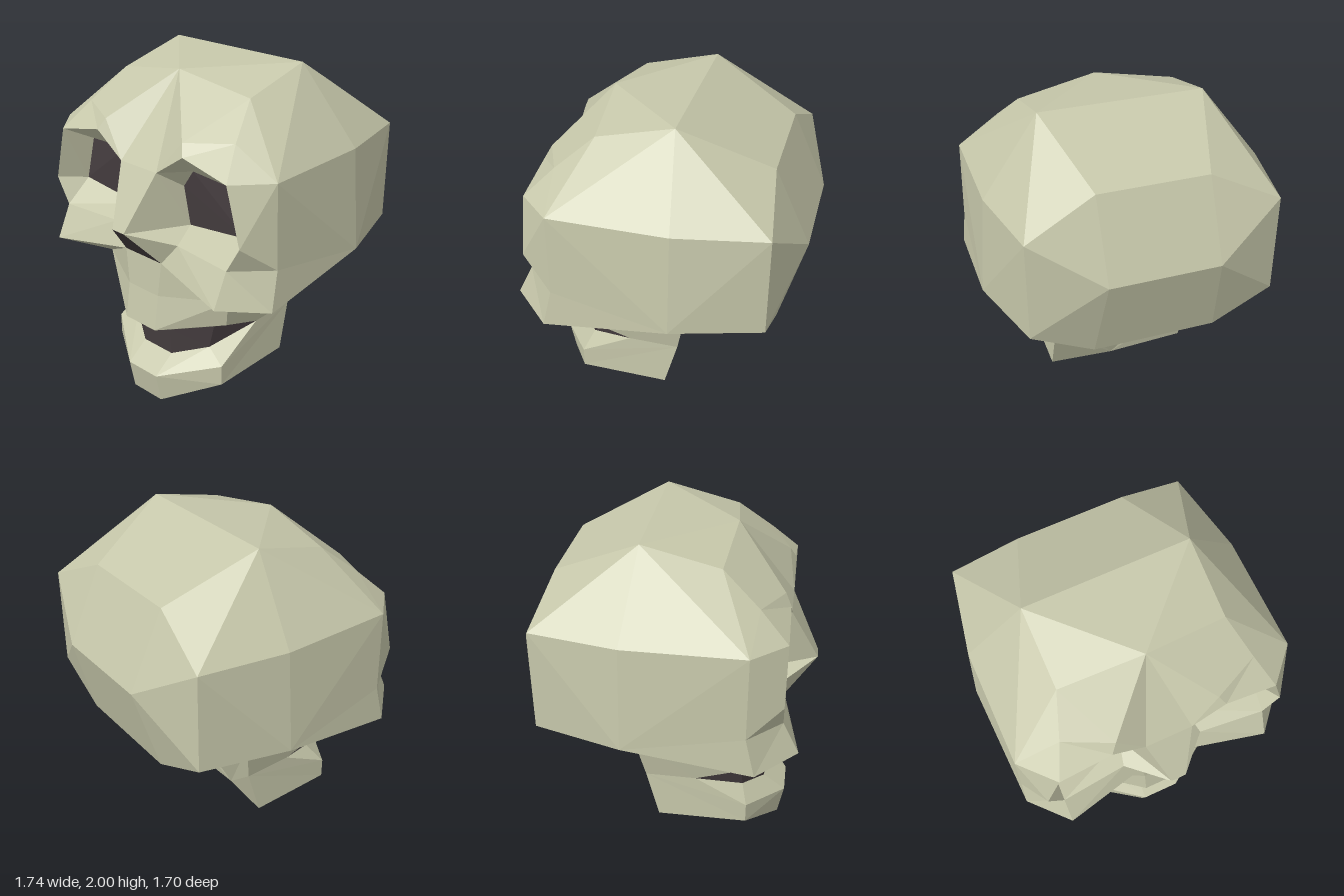
import * as THREE from 'three';

// Corner points of the +x half; a name followed by ' is the mirrored point.
const craniumPoints = {
  crownBack: [0.48, 2, -0.13], crownFront: [0.48, 1.89, 0.31], crownMid: [0, 1.97, 0.35],
  backTop: [0.32, 1.75, -0.64], backMid: [0.32, 1.3, -0.85], backLow: [0.36, 0.79, -0.71],
  rearTop: [0.72, 1.56, -0.7], rearLow: [0.72, 0.96, -0.7],
  sideTop: [0.82, 1.56, -0.19], sideLow: [0.87, 0.96, -0.19], temple: [0.82, 1.56, 0.49],
  baseBack: [0.49, 0.745, -0.19], baseFront: [0.49, 0.745, 0.49], baseMid: [0, 0.745, -0.19],
};
const facePoints = {
  browOut: [0.565, 1.715, 0.52], browIn: [0.3, 1.69, 0.64], browLow: [0.335, 1.625, 0.675],
  rimTop: [0.645, 1.56, 0.68], rimSide: [0.735, 1.23, 0.68], rimLow: [0.645, 1.075, 0.68],
  bridge: [0.14, 1.49, 0.68], noseTip: [0.045, 1.155, 0.85], noseSide: [0.25, 1.075, 0.64],
  noseLow: [0.145, 0.94, 0.67], cheekSide: [0.835, 1.075, 0.49], cheekBack: [0.85, 0.845, 0.545],
  cheekLow: [0.645, 0.88, 0.775], gumTop: [0.12, 0.725, 0.68],
  eyeTopOut: [0.575, 1.48, 0.51], eyeTopIn: [0.27, 1.49, 0.53], eyeMidIn: [0.19, 1.38, 0.52],
  eyeLowIn: [0.215, 1.145, 0.5], eyeLowOut: [0.64, 1.205, 0.52],
};
const jawPoints = {
  lipTop: [0.12, 0.51, 0.715], lipTopSide: [0.46, 0.575, 0.47], mouthCorner: [0.435, 0.46, 0.175],
  jawBackTop: [0.435, 0.46, -0.13], jawBackLow: [0.445, 0.165, -0.05], jawMid: [0, 0.03, 0.07],
  lipLow: [0.115, 0.185, 0.715], lipLowSide: [0.44, 0.29, 0.49],
  chinSide: [0.44, 0.165, 0.49], chin: [0.115, 0, 0.68],
  teethTop: [0.115, 0.455, 0.59], teethTopSide: [0.34, 0.505, 0.445],
  teethLow: [0.115, 0.285, 0.58], teethLowSide: [0.31, 0.355, 0.455],
};
const points = { ...craniumPoints, ...facePoints, ...jawPoints };

function corner(name) {
  const p = new THREE.Vector3(...points[name.replace("'", '')]);
  if (name.endsWith("'")) p.x *= -1;
  return p;
}

// Builds flat polygons facing away from the pivot (or towards it when inward).
// Polygons without a mirrored corner are repeated on the other side.
function panels(name, material, pivot, faces, inward = false) {
  const positions = [];
  const centre = new THREE.Vector3(...pivot);
  const add = (a, b, c) => [a, b, c].forEach((p) => positions.push(p.x, p.y, p.z));
  for (const face of faces) {
    const names = face.split(' ');
    const p = names.map(corner);
    const mirrored = !face.includes("'");
    for (let i = 1; i < p.length - 1; i++) {
      let [a, b, c] = [p[0], p[i], p[i + 1]];
      const normal = b.clone().sub(a).cross(c.clone().sub(a));
      const mid = a.clone().add(b).add(c).divideScalar(3).sub(centre);
      if ((normal.dot(mid) < 0) !== inward) [b, c] = [c, b];
      add(a, b, c);
      if (mirrored) {
        const flip = (v) => new THREE.Vector3(-v.x, v.y, v.z);
        add(flip(a), flip(c), flip(b));
      }
    }
  }
  const geometry = new THREE.BufferGeometry();
  geometry.setAttribute('position', new THREE.Float32BufferAttribute(positions, 3));
  geometry.computeVertexNormals();
  const mesh = new THREE.Mesh(geometry, material);
  mesh.name = name;
  return mesh;
}

export function createModel() {
  const bone = new THREE.MeshStandardMaterial({ color: 0xc6c7aa });
  bone.name = 'bone';
  const hollow = new THREE.MeshStandardMaterial({ color: 0x453d3f });
  hollow.name = 'dark hollow';

  const group = new THREE.Group();
  group.name = 'skull';

  // Domed brain case with its underside
  group.add(panels('cranium', bone, [0, 1.3, 0], [
    "crownBack crownBack' crownMid", 'crownBack crownMid crownFront',
    "backTop crownBack crownBack' backTop'", "backTop backTop' backMid' backMid",
    "backMid backMid' backLow' backLow", 'backTop rearTop backMid',
    'backMid rearTop rearLow backLow', 'crownBack crownFront temple sideTop',
    'crownBack sideTop rearTop backTop', 'rearTop sideTop sideLow rearLow',
    'sideLow sideTop temple cheekSide cheekBack', 'rearLow sideLow baseBack backLow',
    'sideLow cheekBack baseFront baseBack', "backLow baseBack baseBack' backLow'",
  ]));

  // Forehead, brow ridges and bridge of the nose
  group.add(panels('forehead', bone, [0, 1.2, 0], [
    'crownMid crownFront browIn', 'crownFront browOut browIn', 'crownFront temple browOut',
    "crownMid bridge bridge'", 'crownMid browIn bridge', "bridge bridge' noseTip' noseTip",
    'browIn browLow bridge', 'browOut rimTop browLow browIn', 'browOut temple rimTop',
  ]));

  // Cheekbones and the area around the nose
  group.add(panels('cheeks', bone, [0, 1.1, 0], [
    'temple rimTop rimSide', 'temple rimSide cheekSide', 'rimSide rimLow cheekSide',
    'noseTip noseSide noseLow', 'noseSide rimLow cheekLow noseLow',
    'rimLow cheekSide cheekBack cheekLow', 'noseLow cheekLow baseFront gumTop',
    'cheekLow cheekBack baseFront', "noseLow noseLow' gumTop' gumTop",
  ]));

  // Walls of the eye sockets face into each socket
  group.add(panels('eyeSockets', bone, [0.42, 1.36, 0.66], [
    'rimTop browLow eyeTopIn eyeTopOut', 'browLow bridge eyeTopIn',
    'rimTop rimSide eyeLowOut eyeTopOut', 'rimSide rimLow eyeLowOut',
    'rimLow noseSide eyeLowIn eyeLowOut', 'bridge noseTip eyeLowIn',
    'noseTip noseSide eyeLowIn', 'bridge eyeLowIn eyeMidIn', 'bridge eyeMidIn eyeTopIn',
  ], true));
  group.add(panels('eyeHollows', hollow, [0.4, 1.3, 0], [
    'eyeLowOut eyeTopOut eyeTopIn eyeMidIn eyeLowIn',
  ]));
  group.add(panels('noseHollow', hollow, [0, 1.1, 0], ["noseTip noseTip' noseLow' noseLow"]));

  // Upper jaw and the underside of its lip
  group.add(panels('upperJaw', bone, [0, 0.8, 0.2], [
    "gumTop gumTop' lipTop' lipTop", 'baseFront gumTop lipTop lipTopSide',
    "lipTop lipTop' teethTop' teethTop", 'lipTop lipTopSide teethTopSide teethTop',
    'lipTopSide mouthCorner teethTopSide',
  ]));

  // Lower jaw, its ridged back and the hinge sides
  group.add(panels('lowerJaw', bone, [0, 0.4, 0.25], [
    'baseBack baseFront lipTopSide mouthCorner jawBackTop',
    'jawBackTop mouthCorner lipLowSide chinSide jawBackLow',
    'jawMid baseMid baseBack jawBackTop jawBackLow', 'jawMid jawBackLow chinSide chin',
    "jawMid chin chin'", "lipLow lipLow' chin' chin", 'lipLow lipLowSide chinSide chin',
  ]));
  group.add(panels('lowerLip', bone, [0, 0, 0.2], [
    "lipLow lipLow' teethLow' teethLow", 'lipLow lipLowSide teethLowSide teethLow',
    'lipLowSide mouthCorner teethLowSide',
  ]));

  // Dark band inside the open mouth
  group.add(panels('mouthHollow', hollow, [0, 0.4, 0], [
    "teethTop teethTop' teethLow' teethLow", 'teethTop teethTopSide teethLowSide teethLow',
    'teethTopSide mouthCorner teethLowSide',
  ]));
  return group;
}
